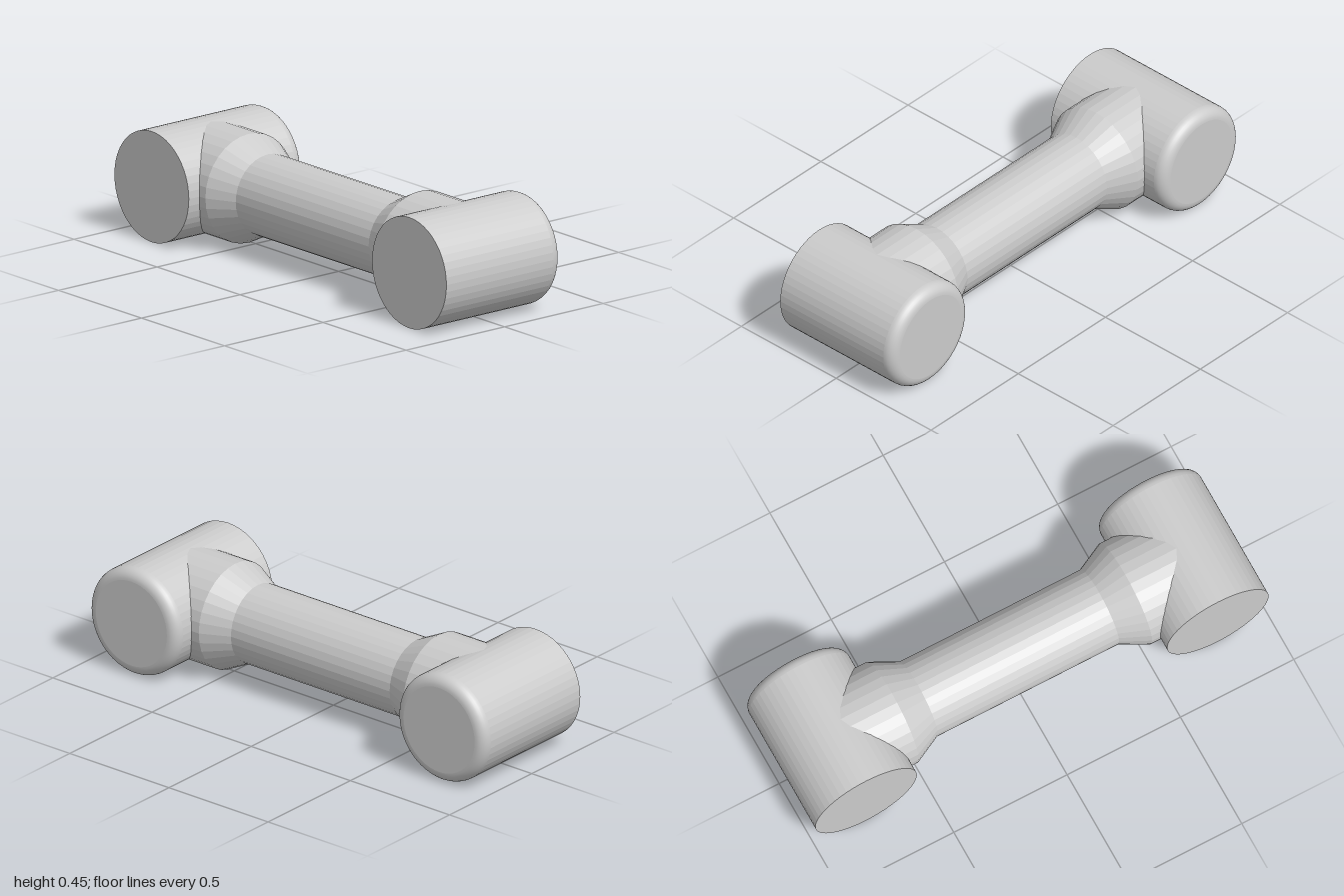
import * as THREE from 'three';

const flatGrey = new THREE.MeshStandardMaterial({ color: 0xcccccc, flatShading: true });
const smoothGrey = new THREE.MeshStandardMaterial({ color: 0xcccccc });

const R = 0.224;          // joint barrel radius
const FILLET = 0.045;     // rounding of the barrel's +x rim
const X0 = -0.295, X1 = 0.293;
const JOINT_Z = 0.776;
const ARM_X = -0.022;

function part(name, geometry, material) {
  const mesh = new THREE.Mesh(geometry, material);
  mesh.name = name;
  return mesh;
}

// Barrel lying along x, sharp at -x and rounded at +x
function makeJoint(name) {
  const joint = new THREE.Group();
  joint.name = name;
  const bodyEnd = X1 - FILLET;

  const body = new THREE.CylinderGeometry(R, R, bodyEnd - X0, 48, 1, true);
  body.rotateZ(-Math.PI / 2).translate((X0 + bodyEnd) / 2, 0, 0);
  joint.add(part('barrel', body, flatGrey));

  const arc = [];
  for (let i = 0; i <= 8; i++) {
    const a = (i / 8) * Math.PI / 2;
    arc.push(new THREE.Vector2(R - FILLET + FILLET * Math.cos(a), bodyEnd + FILLET * Math.sin(a)));
  }
  const rim = new THREE.LatheGeometry(arc, 48).rotateZ(-Math.PI / 2);
  joint.add(part('roundedRim', rim, smoothGrey));

  const capRight = new THREE.CircleGeometry(R, 48).rotateY(-Math.PI / 2).translate(X0, 0, 0);
  const capLeft = new THREE.CircleGeometry(R - FILLET, 48).rotateY(Math.PI / 2).translate(X1, 0, 0);
  joint.add(part('flatCap', capRight, flatGrey), part('roundedCap', capLeft, flatGrey));
  return joint;
}

// Tapered frustum or tube along z, from z0 (radius r0) to z1 (radius r1)
function tube(name, z0, r0, z1, r1) {
  const g = new THREE.CylinderGeometry(r1, r0, z1 - z0, 32, 1, true);
  g.rotateX(Math.PI / 2).translate(ARM_X, 0, (z0 + z1) / 2);
  return part(name, g, flatGrey);
}

export function createModel() {
  const model = new THREE.Group();
  model.name = 'armLink';

  // Connecting arm, flaring into a collar at each end
  const arm = new THREE.Group();
  arm.name = 'arm';
  arm.add(
    tube('armTube', -0.4, 0.163, 0.4, 0.163),
    tube('frontTaper', 0.4, 0.163, 0.515, 0.22),
    tube('frontCollar', 0.515, 0.22, JOINT_Z, 0.22),
    tube('backTaper', -0.515, 0.22, -0.4, 0.163),
    tube('backCollar', -JOINT_Z, 0.22, -0.515, 0.22),
  );
  arm.position.y = 0.226;
  model.add(arm);

  // Joint barrels at both ends
  for (const [name, s] of [['frontJoint', 1], ['backJoint', -1]]) {
    const joint = makeJoint(name);
    joint.position.set(0, 0.225, s * JOINT_Z);
    model.add(joint);
  }
  return model;
}
